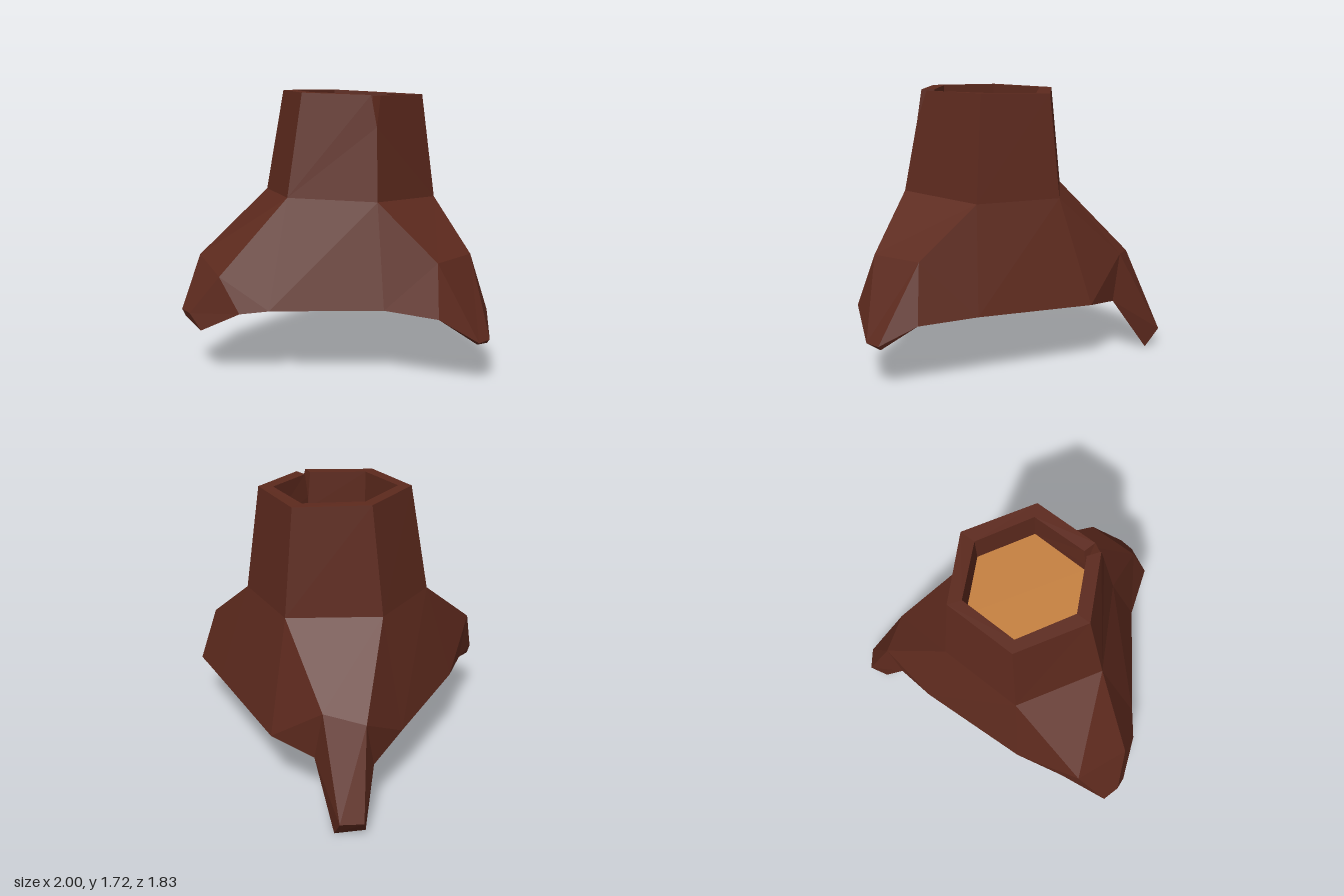
import * as THREE from 'three';

const v = (x, y, z) => [x, y, z];

// Turns a polygon over while keeping its first corner, so it is cut the same way
const flip = ([first, ...rest]) => [first, ...rest.reverse()];

// Flat-shaded mesh from outward-facing polygons, each cut as a fan from its first corner
function facetMesh(name, material, polygons) {
  const pos = [];
  for (const p of polygons) {
    for (let i = 1; i < p.length - 1; i++) pos.push(...p[0], ...p[i], ...p[i + 1]);
  }
  const geo = new THREE.BufferGeometry();
  geo.setAttribute('position', new THREE.Float32BufferAttribute(pos, 3));
  geo.computeVertexNormals();
  const mesh = new THREE.Mesh(geo, material);
  mesh.name = name;
  return mesh;
}

export function createModel() {
  // The stump is an open shell underneath, so both sides show
  const bark = new THREE.MeshStandardMaterial({ color: 0x5c291d, side: THREE.DoubleSide });
  bark.name = 'bark brown';
  const wood = new THREE.MeshStandardMaterial({ color: 0xc5803f, side: THREE.DoubleSide });
  wood.name = 'cut wood tan';

  // Rings run front-left, front-right, right, back-right, back-left, left
  const base = [v(-0.38, 0.46, 0.43), v(0.41, 0.41, 0.45), v(0.8, 0.39, -0.22),
    v(0.38, 0.42, -0.86), v(-0.35, 0.46, -0.83), v(-0.78, 0.44, -0.13)];
  const waist = [v(-0.27, 1.08, 0.29), v(0.29, 1.05, 0.3), v(0.58, 1.05, -0.18),
    v(0.3, 1.07, -0.67), v(-0.25, 1.07, -0.68), v(-0.54, 1.09, -0.2)];

  // Rim rings open at the front-left corner, where a notch is split out
  const outer = [v(-0.15, 1.705, 0.215), v(0.26, 1.7, 0.22), v(0.5, 1.69, -0.18),
    v(0.28, 1.71, -0.57), v(-0.18, 1.72, -0.58), v(-0.41, 1.72, -0.19), v(-0.21, 1.71, 0.19)];
  const inner = [v(-0.13, 1.7, 0.14), v(0.22, 1.7, 0.14), v(0.4, 1.69, -0.18),
    v(0.23, 1.71, -0.5), v(-0.14, 1.72, -0.51), v(-0.32, 1.72, -0.19), v(-0.16, 1.71, 0.12)];
  const notchOut = v(-0.21, 1.52, 0.235);
  const notchIn = v(-0.15, 1.55, 0.13);
  const floor = inner.slice(0, 6).map(([x, , z]) => v(x, 1.475, z));
  floor[0] = v(-0.15, 1.475, 0.13);

  // Trunk: upper walls and the valleys between roots
  const trunk = [
    [waist[1], outer[1], outer[0], notchOut, waist[0]],
    [waist[5], waist[0], notchOut, outer[6], outer[5]],
  ];
  for (let i = 1; i < 5; i++) trunk.push([waist[i], waist[i + 1], outer[i + 1], outer[i]]);
  for (const i of [1, 3, 5]) {
    const j = (i + 1) % 6;
    trunk.push([base[i], base[j], waist[j], waist[i]]);
  }

  // Rim, notch walls and the inside of the hollow
  const rim = [
    [notchIn, notchOut, outer[0], inner[0]],
    [notchOut, notchIn, inner[6], outer[6]],
    [floor[1], floor[0], notchIn, inner[0], inner[1]],
    [floor[0], floor[5], inner[5], inner[6], notchIn],
  ];
  for (let i = 0; i < 6; i++) rim.push([outer[i], outer[i + 1], inner[i + 1], inner[i]]);
  for (let i = 1; i < 5; i++) rim.push([floor[i + 1], floor[i], inner[i], inner[i + 1]]);

  // A root grows from corners i and i + 1, open below; each pair is [first side, second side]
  function root(name, i, ridge, tip, low, side) {
    const w = [waist[i], waist[i + 1]];
    const b = [base[i], base[i + 1]];
    const loops = [low, tip, ridge, w];
    const polys = [];
    for (let k = 0; k < 3; k++) {
      const [p, q] = [loops[k], loops[k + 1]];
      polys.push([p[0], p[1], q[1], q[0]]);
    }
    for (const s of [0, 1]) {
      const flanks = [[b[s], side[s], ridge[s], w[s]], [side[s], low[s], tip[s], ridge[s]]];
      polys.push(...(s ? flanks.map(flip) : flanks));
    }
    return facetMesh(name, bark, polys);
  }

  const group = new THREE.Group();
  group.name = 'treeStump';
  group.add(
    facetMesh('trunk', bark, trunk),
    facetMesh('hollowRim', bark, rim),
    facetMesh('heartwood', wood, [floor]),
    root('frontRoot', 0,
      [v(-0.19, 0.75, 0.68), v(0.15, 0.75, 0.68)],
      [v(-0.07, 0.28, 0.9), v(0.03, 0.28, 0.91)],
      [v(-0.06, 0.265, 0.88), v(0.03, 0.255, 0.89)],
      [v(-0.27, 0.44, 0.75), v(0.21, 0.4, 0.77)]),
    root('leftRoot', 2,
      [v(0.81, 0.65, -0.58), v(0.74, 0.62, -0.82)],
      [v(1.0, 0.12, -0.81), v(0.92, 0.12, -0.92)],
      [v(0.94, 0, -0.74), v(0.83, 0.01, -0.88)],
      [v(0.8, 0.345, -0.52), v(0.66, 0.33, -0.83)]),
    root('rightRoot', 4,
      [v(-0.78, 0.7, -0.75), v(-0.91, 0.63, -0.42)],
      [v(-0.97, 0.39, -0.71), v(-1.0, 0.39, -0.6)],
      [v(-0.95, 0.34, -0.7), v(-0.99, 0.295, -0.51)],
      [v(-0.66, 0.44, -0.76), v(-0.89, 0.42, -0.27)]),
  );
  return group;
}
